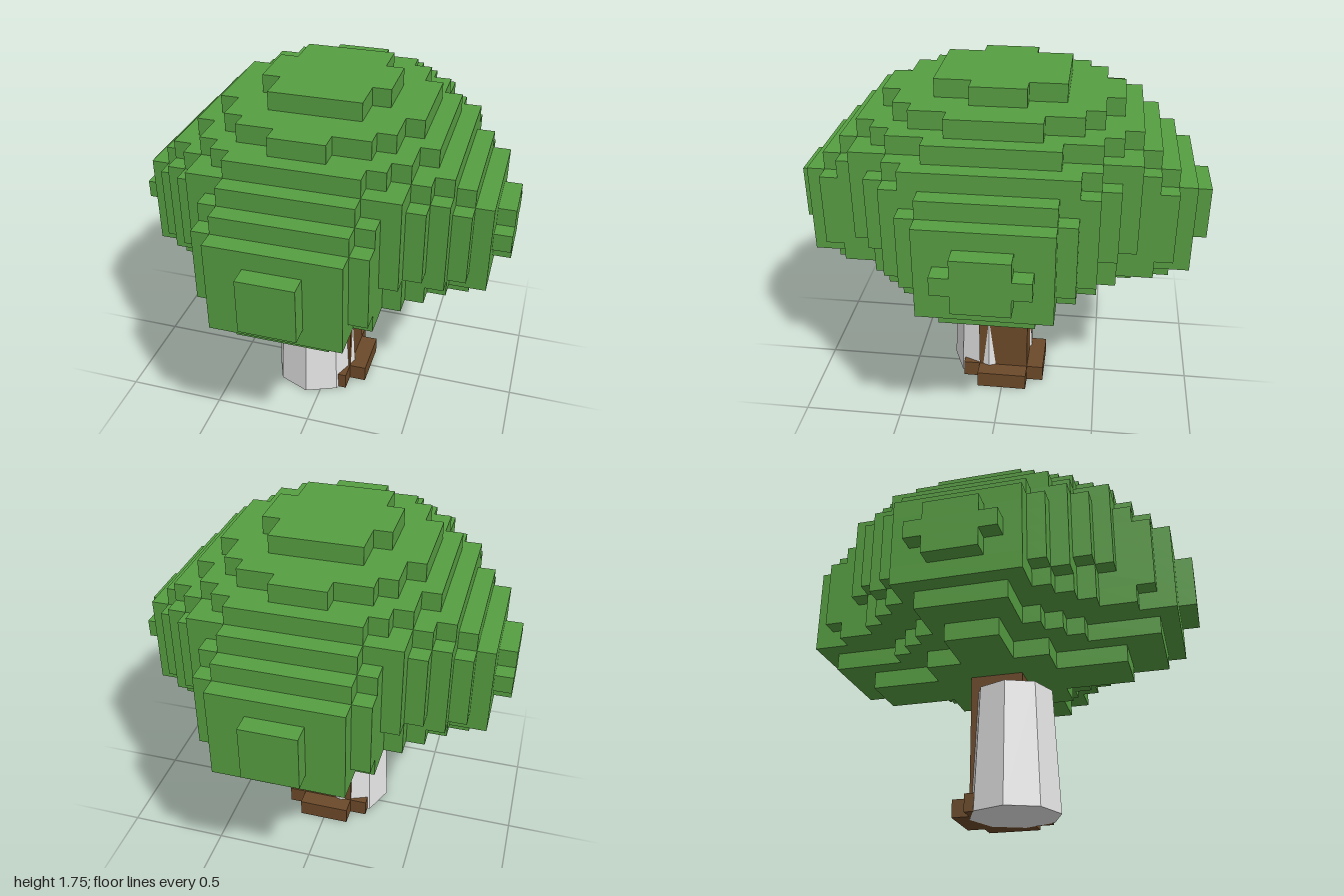
import * as THREE from 'three';

const V = 2 / 23; // block size
const LEAF_BOTTOM = 0.704;
const LEAF_STEP = 0.0873;

// Half depth (in blocks) of each leaf layer, listed from the middle column out; bottom to top
const LAYERS = [
  [7, 7, 3, 3, 1, 1, 1],
  [9, 9, 9, 5, 4, 3, 2, 2, 2],
  [10, 10, 10, 10, 8, 6, 5, 4, 3, 3],
  [11, 11, 10, 10, 9, 6, 5, 5, 4, 3, 1],
  [11, 11, 10, 10, 9, 7, 6, 5, 4, 3, 2],
  [11, 11, 10, 10, 9, 7, 6, 5, 4, 3, 1],
  [10, 10, 10, 10, 9, 7, 6, 5, 4, 3],
  [9, 9, 9, 9, 8, 7, 6, 5, 3],
  [8, 8, 8, 8, 7, 7, 5, 4],
  [7, 7, 7, 7, 6, 5, 3],
  [6, 6, 5, 5, 4, 2],
  [3, 3, 3, 1],
];

// Stepped outline, mirrored into all four quadrants
function layerShape(depths) {
  const quarter = [];
  for (let i = depths.length - 1; i >= 0; i--) {
    const x = (i + 0.5) * V;
    const z = (depths[i] + 0.5) * V;
    const outer = depths[i + 1];
    if (outer === depths[i]) continue;
    if (outer !== undefined) quarter.push([x, (outer + 0.5) * V]);
    quarter.push([x, z]);
  }
  const back = [...quarter].reverse();
  const points = [
    ...quarter,
    ...back.map(([x, z]) => [-x, z]),
    ...quarter.map(([x, z]) => [-x, -z]),
    ...back.map(([x, z]) => [x, -z]),
  ];
  return new THREE.Shape(points.map(([x, z]) => new THREE.Vector2(x, z)));
}

export function createModel() {
  const model = new THREE.Group();
  model.name = 'tree';
  const material = (name, color) => {
    const m = new THREE.MeshStandardMaterial({ color });
    m.name = name;
    return m;
  };
  const green = material('leafGreen', 0x579e42);
  const brown = material('barkBrown', 0x6c4a29);
  const grey = material('paleGrey', 0xe6e6e6);
  grey.flatShading = true;

  const add = (parent, name, geometry, mat, x = 0, y = 0, z = 0) => {
    const mesh = new THREE.Mesh(geometry, mat);
    mesh.name = name;
    mesh.position.set(x, y, z);
    parent.add(mesh);
  };

  // Leaf crown, one stepped slab per layer
  const crown = new THREE.Group();
  crown.name = 'crown';
  model.add(crown);
  LAYERS.forEach((depths, i) => {
    const slab = new THREE.ExtrudeGeometry(layerShape(depths), { depth: LEAF_STEP, bevelEnabled: false });
    slab.rotateX(-Math.PI / 2);
    add(crown, 'leafLayer' + (i + 1), slab, green, 0, LEAF_BOTTOM + i * LEAF_STEP, 0);
  });

  // Trunk with a cross of root blocks
  add(model, 'trunk', new THREE.BoxGeometry(3 * V, 0.72, 3 * V), brown, 0, 0.362, 0);
  add(model, 'rootsAcross', new THREE.BoxGeometry(5 * V, 0.087, 3 * V), brown, 0, 0.0445, 0);
  add(model, 'rootsAlong', new THREE.BoxGeometry(3 * V, 0.087, 5 * V), brown, 0, 0.0445, 0);

  // Tapered eight-sided post merged into the trunk corner
  add(model, 'post', new THREE.CylinderGeometry(0.192, 0.222, 0.615, 8), grey, -0.073, 0.3075, 0.076);
  return model;
}
